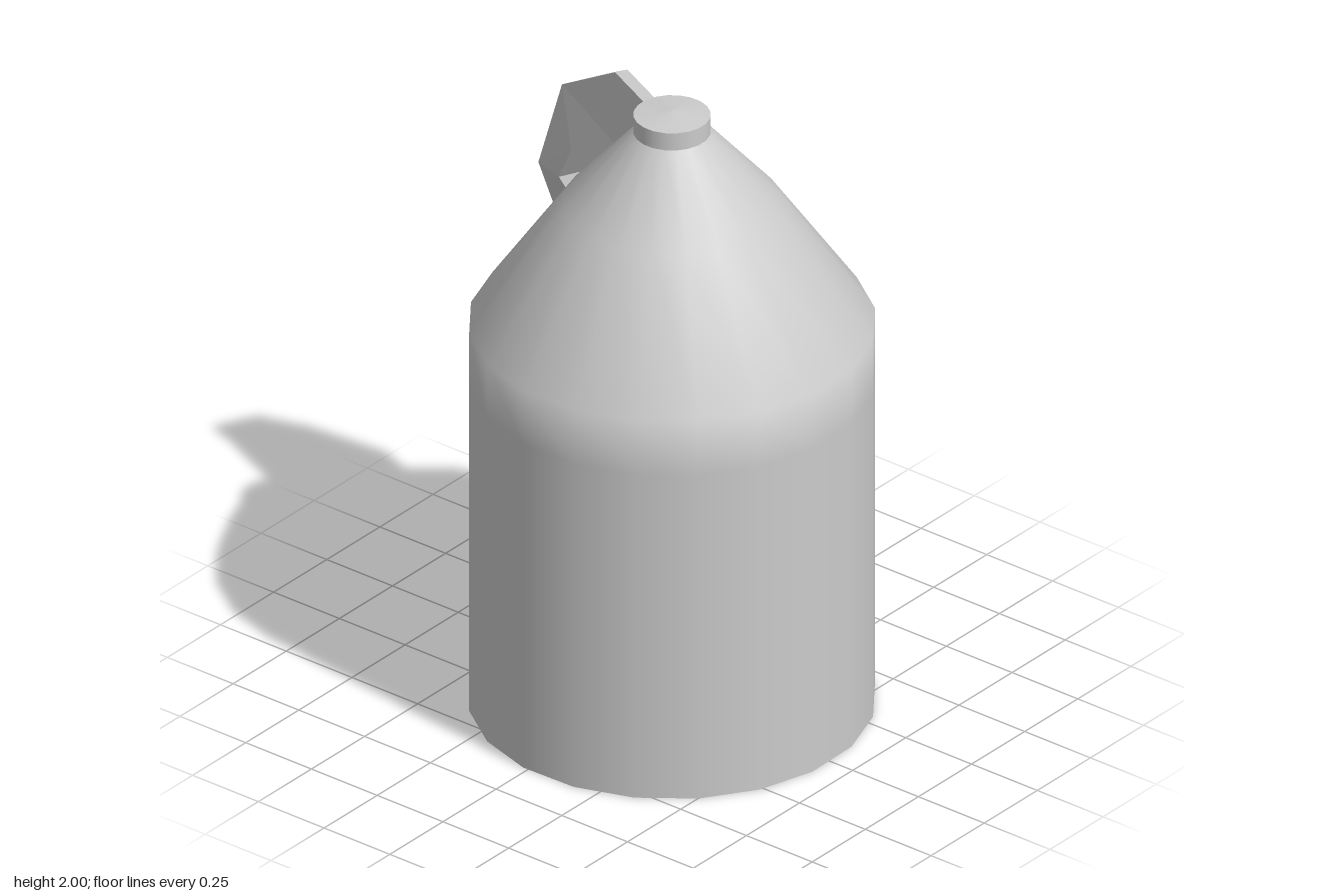
import * as THREE from 'three';

const SIDES = 20;
const mat = new THREE.MeshStandardMaterial({ color: 0xcccccc });

function part(name, geometry, parent) {
  const mesh = new THREE.Mesh(geometry, mat);
  mesh.name = name;
  parent.add(mesh);
  return mesh;
}

function lathe(points) {
  return new THREE.LatheGeometry(points.map(([r, y]) => new THREE.Vector2(r, y)), SIDES);
}

// Flat-shaded loft through four-cornered sections, closed at both ends
function loft(sections) {
  const pos = [];
  const quad = (a, b, c, d) => pos.push(...a, ...b, ...c, ...a, ...c, ...d);
  for (let i = 0; i < sections.length - 1; i++) {
    const s = sections[i], t = sections[i + 1];
    for (let k = 0; k < 4; k++) {
      const n = (k + 1) % 4;
      quad(s[k], s[n], t[n], t[k]);
    }
  }
  const first = sections[0], last = sections[sections.length - 1];
  quad(first[3], first[2], first[1], first[0]);
  quad(last[0], last[1], last[2], last[3]);
  const g = new THREE.BufferGeometry();
  g.setAttribute('position', new THREE.Float32BufferAttribute(pos, 3));
  g.computeVertexNormals();
  return g;
}

export function createModel() {
  const model = new THREE.Group();
  model.name = 'jug';

  // Everything shares the jug's axis, set off centre by the handle
  const jug = new THREE.Group();
  jug.name = 'jugAssembly';
  jug.position.x = 0.063;
  model.add(jug);

  const round = new THREE.Group();
  round.name = 'roundParts';
  round.rotation.y = 0.18;
  jug.add(round);

  // Body with softly shaded shoulder and conical top
  part('body', lathe([[0.605, 0], [0.605, 1.1], [0.605, 1.285], [0.325, 1.69], [0.115, 1.93]]), round);
  const base = part('base', new THREE.CircleGeometry(0.605, SIDES), round);
  base.rotation.x = Math.PI / 2;

  // Cap: rim and slightly domed lid
  part('capRim', lathe([[0.115, 1.93], [0.115, 1.988]]), round);
  part('capLid', lathe([[0.115, 1.988], [0, 2]]), round);

  // Handle sections: outer [radius, height, side from, side to], then inner
  const sections = [
    [[0.09, 1.93, 0.0, 0.04], [0.2, 1.69, 0.0, 0.1]],
    [[0.39, 1.93, 0.0, 0.04], [0.36, 1.685, 0.0, 0.095]],
    [[0.635, 1.777, -0.057, 0.093], [0.565, 1.59, -0.06, 0.097]],
    [[0.78, 1.44, -0.065, 0.118], [0.65, 1.455, -0.06, 0.113]],
    [[0.735, 1.2, 0.0, 0.19], [0.63, 1.335, 0.0, 0.19]],
    [[0.56, 1.11, 0.0, 0.19], [0.53, 1.3, 0.0, 0.19]],
  ].map(([[ro, yo, o0, o1], [ri, yi, i0, i1]]) => [
    [ro, yo, o0], [ro, yo, o1], [ri, yi, i1], [ri, yi, i0],
  ]);
  const handle = part('handle', loft(sections), jug);
  handle.rotation.y = Math.PI - 0.445;

  return model;
}
